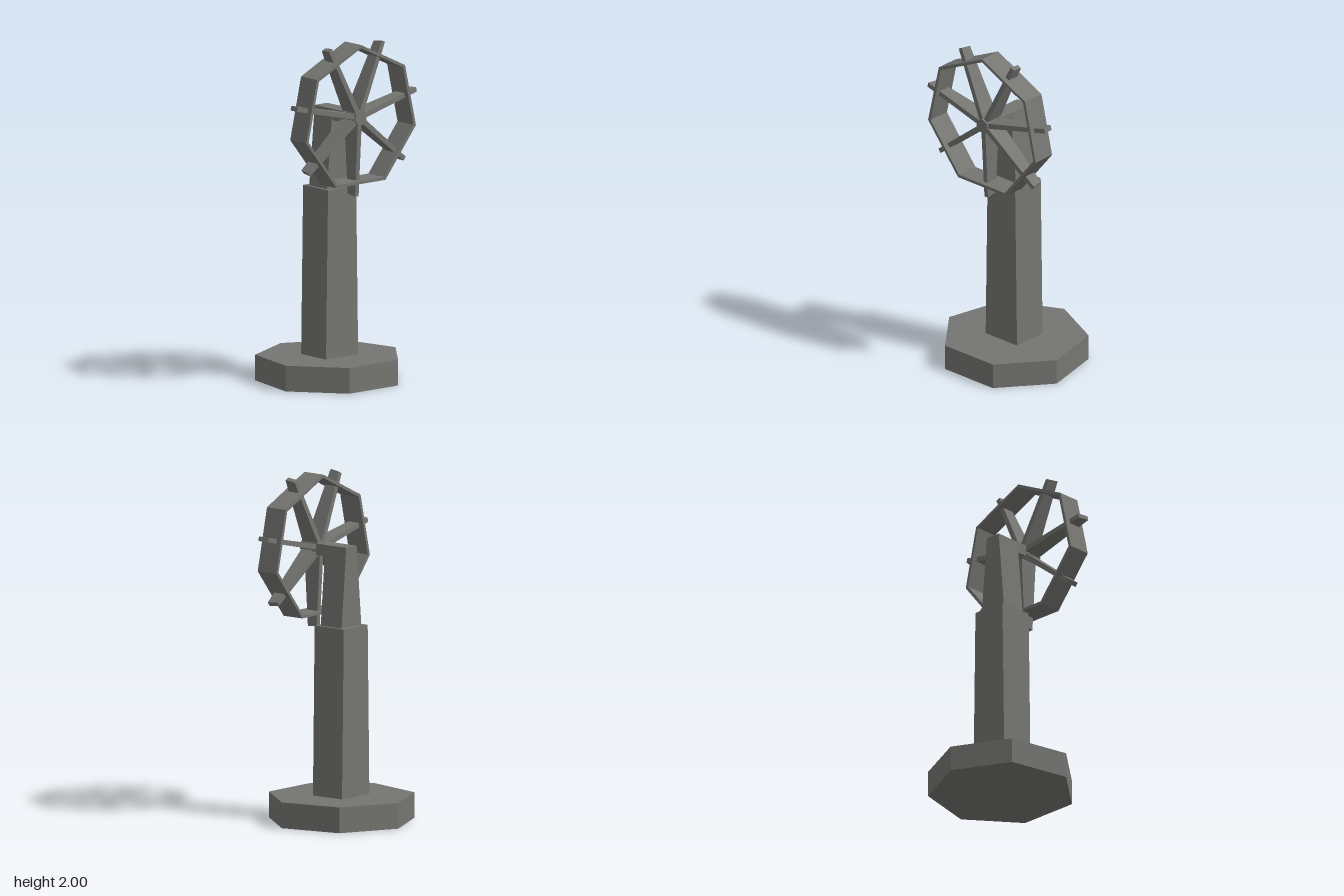
import * as THREE from 'three';

const material = new THREE.MeshStandardMaterial({ color: 0x757572, flatShading: true });

function part(name, geometry, x = 0, y = 0, z = 0) {
  const mesh = new THREE.Mesh(geometry, material);
  mesh.name = name;
  mesh.position.set(x, y, z);
  return mesh;
}

// Box standing on y = 0 whose x and z sizes change from bottom to top
function taperedBox(bottomX, topX, bottomZ, topZ, height) {
  const geometry = new THREE.BoxGeometry(1, height, 1).translate(0, height / 2, 0);
  const p = geometry.attributes.position;
  for (let i = 0; i < p.count; i++) {
    const top = p.getY(i) > height / 2;
    p.setX(i, p.getX(i) * (top ? topX : bottomX));
    p.setZ(i, p.getZ(i) * (top ? topZ : bottomZ));
  }
  geometry.computeVertexNormals();
  return geometry;
}

// Seven corners with one pointing up
function heptagon(radius) {
  return Array.from({ length: 7 }, (_, i) => {
    const a = Math.PI / 2 + (i * Math.PI * 2) / 7;
    return new THREE.Vector2(Math.cos(a) * radius, Math.sin(a) * radius);
  });
}

function heptagonPrism(radius, depth, holeRadius = 0) {
  const shape = new THREE.Shape(heptagon(radius));
  if (holeRadius) shape.holes.push(new THREE.Path(heptagon(holeRadius)));
  return new THREE.ExtrudeGeometry(shape, { depth, bevelEnabled: false });
}

export function createModel() {
  const model = new THREE.Group();
  model.name = 'wheelTower';

  // Base slab, one corner to the back
  model.add(part('base', heptagonPrism(0.428, 0.15).rotateX(-Math.PI / 2), 0, 0, 0.021));

  // Two-stage tower and the arm that carries the wheel
  model.add(part('tower', taperedBox(0.244, 0.214, 0.218, 0.218, 0.988), 0, 0.15, 0.021));
  model.add(part('upperTower', taperedBox(0.176, 0.094, 0.156, 0.156, 0.465), 0, 1.138, 0.022));
  model.add(part('arm', new THREE.BoxGeometry(0.094, 0.066, 0.14), 0, 1.57, 0.13));

  // Wheel: thin rim, small hub and seven spokes reaching past the rim
  const wheel = new THREE.Group();
  wheel.name = 'wheel';
  wheel.position.set(0, 1.572, 0.226);
  wheel.add(part('rim', heptagonPrism(0.428, 0.14, 0.409), 0, 0, -0.07));
  wheel.add(part('hub', heptagonPrism(0.045, 0.135), 0, 0, -0.067));

  const spokeGeometry = taperedBox(0.031, 0.027, 0.12, 0.066, 0.46);
  const p = spokeGeometry.attributes.position;
  for (let i = 0; i < p.count; i++) {
    // Slightly slanted tip
    if (p.getY(i) > 0.2) p.setY(i, 0.46 + Math.sign(p.getZ(i)) * 0.005);
  }
  spokeGeometry.computeVertexNormals();
  for (let i = 0; i < 7; i++) {
    const spoke = part('spoke', spokeGeometry);
    spoke.rotation.z = Math.PI + (i * Math.PI * 2) / 7;
    wheel.add(spoke);
  }
  model.add(wheel);
  return model;
}
